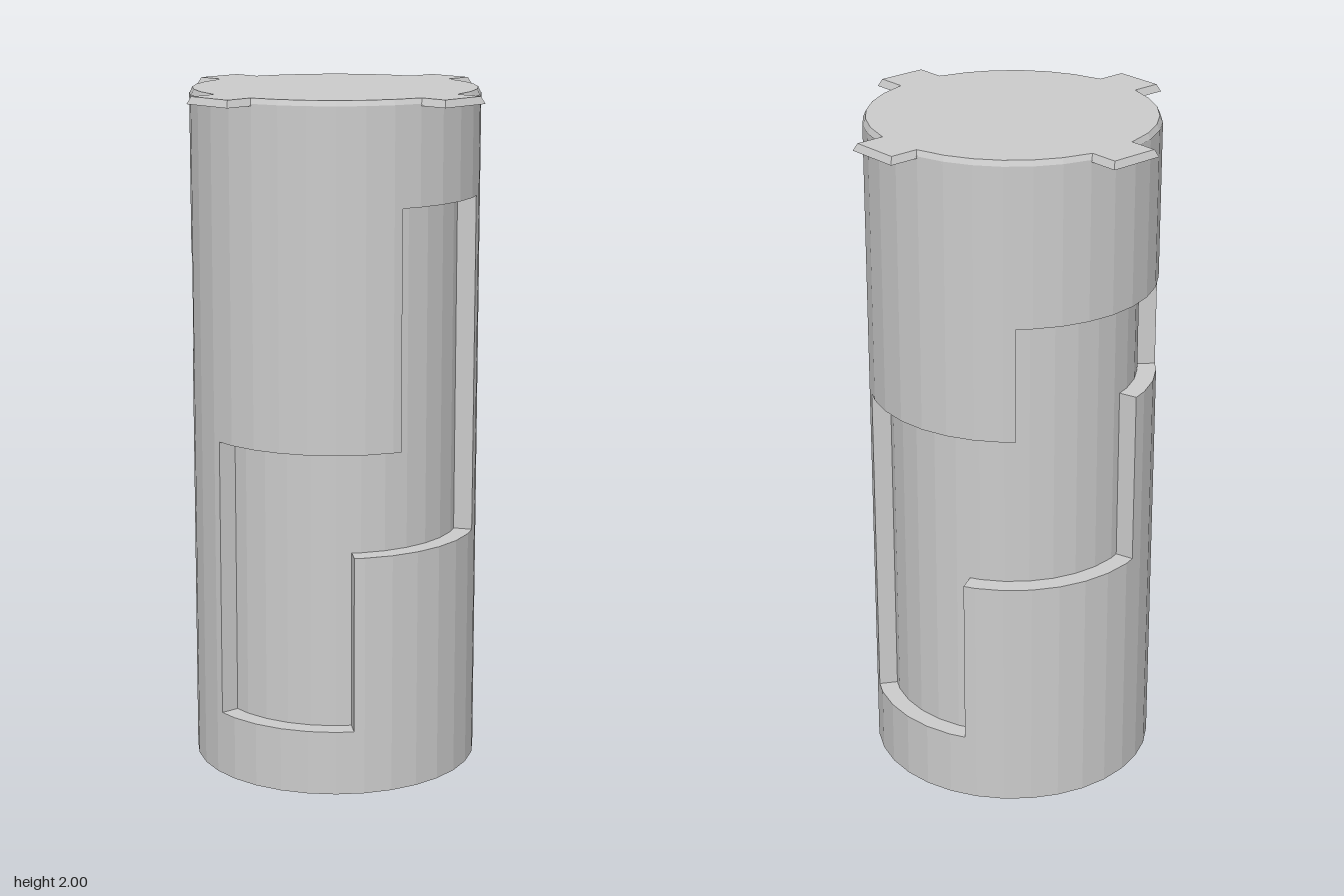
import * as THREE from 'three';

const R = 0.42, FLOOR = 0.365, SIDES = 32, STEP = 360 / SIDES;
const START = -39; // angles run from +z towards +x, in degrees

// Groove rectangles: angle from, angle to, y from, y to
const GROOVES = [
  [-8, 52, 0.19, 1.01], [-8, 119, 0.71, 1.01], [71, 119, 0.71, 1.70],
  [151, 209, 0.20, 1.18], [151, 286, 0.71, 1.18], [230, 286, 0.71, 1.52], [230, 321, 1.23, 1.52],
];

const rad = THREE.MathUtils.degToRad;
const sorted = (list) => [...new Set(list)].sort((a, b) => a - b);

// Point on the faceted cylinder of radius r
function point(r, a, y) {
  const local = THREE.MathUtils.euclideanModulo(a, STEP) - STEP / 2;
  const d = r * Math.cos(rad(STEP / 2)) / Math.cos(rad(local));
  return [d * Math.sin(rad(a)), y, d * Math.cos(rad(a))];
}

function quad(out, a, b, c, d) {
  out.push(...a, ...b, ...c, ...a, ...c, ...d);
}

function meshOf(name, positions, material) {
  const g = new THREE.BufferGeometry();
  g.setAttribute('position', new THREE.Float32BufferAttribute(positions, 3));
  g.computeVertexNormals();
  const m = new THREE.Mesh(g, material);
  m.name = name;
  return m;
}

// Barrel split into cells; cells inside a groove are sunk and walled
function buildBarrel(material) {
  const facets = [];
  for (let a = -3 * STEP; a < START + 360; a += STEP) facets.push(a);
  const angles = sorted([START, START + 360, ...facets, ...GROOVES.flatMap((g) => [g[0], g[1]])]);
  const heights = sorted([0, 1.985, ...GROOVES.flatMap((g) => [g[2], g[3]])]);
  const cols = angles.length - 1, rows = heights.length - 1;

  const sunk = (i, j) => {
    if (j < 0 || j >= rows) return false;
    const k = (i + cols) % cols;
    const a = (angles[k] + angles[k + 1]) / 2, y = (heights[j] + heights[j + 1]) / 2;
    return GROOVES.some((g) => a > g[0] && a < g[1] && y > g[2] && y < g[3]);
  };

  const skin = [], floor = [], walls = [];
  for (let i = 0; i < cols; i++) {
    for (let j = 0; j < rows; j++) {
      const [a0, a1, y0, y1] = [angles[i], angles[i + 1], heights[j], heights[j + 1]];
      const inside = sunk(i, j), r = inside ? FLOOR : R;
      quad(inside ? floor : skin, point(r, a0, y0), point(r, a1, y0), point(r, a1, y1), point(r, a0, y1));
      if (!inside) continue;
      if (!sunk(i + 1, j)) quad(walls, point(FLOOR, a1, y0), point(R, a1, y0), point(R, a1, y1), point(FLOOR, a1, y1));
      if (!sunk(i - 1, j)) quad(walls, point(R, a0, y0), point(FLOOR, a0, y0), point(FLOOR, a0, y1), point(R, a0, y1));
      if (!sunk(i, j - 1)) quad(walls, point(R, a0, y0), point(R, a1, y0), point(FLOOR, a1, y0), point(FLOOR, a0, y0));
      if (!sunk(i, j + 1)) quad(walls, point(FLOOR, a0, y1), point(FLOOR, a1, y1), point(R, a1, y1), point(R, a0, y1));
    }
  }
  const barrel = new THREE.Group();
  barrel.name = 'barrel';
  barrel.add(meshOf('barrelSkin', skin, material), meshOf('grooveFloor', floor, material), meshOf('grooveWalls', walls, material));
  return barrel;
}

// Thin lid with four square tabs and a sloped rim
function buildLid(material) {
  const half = 0.082, reach = 0.5, pts = [];
  for (let k = 0; k < 4; k++) {
    const turn = (x, y) => pts.push(new THREE.Vector2(x, y).rotateAround(new THREE.Vector2(), k * Math.PI / 2));
    const root = Math.sqrt(R * R - half * half);
    turn(root, -half); turn(reach, -half); turn(reach, half); turn(root, half);
    for (let s = 2; s <= 6; s++) turn(R * Math.cos(rad(s * STEP)), R * Math.sin(rad(s * STEP)));
  }
  const g = new THREE.ExtrudeGeometry(new THREE.Shape(pts), {
    depth: 0.001, bevelThickness: 0.02, bevelSize: 0.009, bevelOffset: -0.009, bevelSegments: 1,
  });
  // Flatten the lower bevel so only the top edge slopes
  const p = g.attributes.position;
  for (let i = 0; i < p.count; i++) p.setZ(i, Math.max(0, p.getZ(i)));
  g.rotateX(-Math.PI / 2).translate(0, 1.979, 0);
  g.computeVertexNormals();
  const lid = new THREE.Mesh(g, material);
  lid.name = 'tabbedLid';
  return lid;
}

export function createModel() {
  const material = new THREE.MeshStandardMaterial({ color: 0xcccccc, flatShading: true });
  const group = new THREE.Group();
  group.name = 'groovedCylinder';

  const base = new THREE.Mesh(new THREE.CircleGeometry(R, SIDES).rotateX(Math.PI / 2), material);
  base.name = 'base';

  group.add(buildBarrel(material), base, buildLid(material));
  return group;
}
